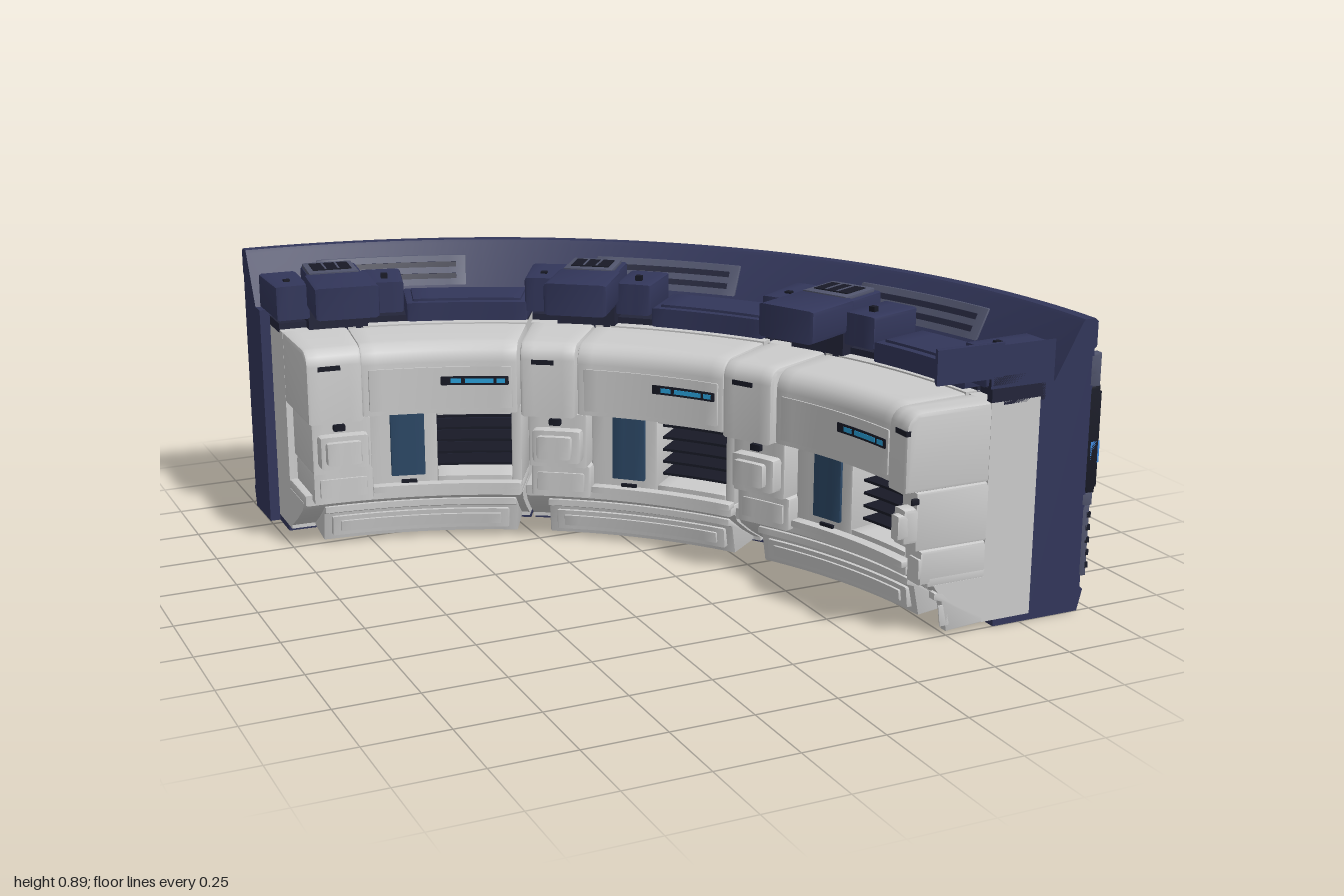
import * as THREE from 'three';
import { toCreasedNormals } from 'three/addons/utils/BufferGeometryUtils.js';

const mat = (color) => new THREE.MeshStandardMaterial({ color, roughness: 0.7 });
const WHITE = mat(0xcccccc), NAVY = mat(0x32365a), DEEP = mat(0x23253a), DARK = mat(0x181a26);
const GREY = mat(0x50546c), BLUE = mat(0x3f8ae0), CYAN = mat(0x2a9fd8), TEAL = mat(0x2c4866);

const RAD = Math.PI / 180;
const PITCH = 28.35; // degrees per console bay
const FIRST = 89.2;  // angle at which the first bay starts

// Sweeps a (radius, height) profile around the arc centre at (-1, 1), from angle a1 down to a0.
function sweep(name, a1, a0, profile, material, bevel = 0, straight = false) {
  const hi = Math.min(a1, 90), lo = straight ? a0 : Math.max(a0, 0);
  const rs = profile.map((p) => p[0]);
  const rm = straight ? Math.min(...rs) : (Math.min(...rs) + Math.max(...rs)) / 2;
  const len = (hi - lo) * RAD * rm;
  const b = Math.min(bevel, len / 3);
  const geo = new THREE.ExtrudeGeometry(new THREE.Shape(profile.map((p) => new THREE.Vector2(...p))), {
    depth: len - 2 * b, steps: straight ? 1 : Math.ceil((hi - lo) / 1.8),
    bevelEnabled: b > 0, bevelSize: b, bevelThickness: b, bevelOffset: -b, bevelSegments: 2,
  });
  const pos = geo.attributes.position;
  const mid = (hi + lo) / 2 * RAD;
  for (let i = 0; i < pos.count; i++) {
    const r = pos.getX(i), s = pos.getZ(i) + b;
    let x, z;
    if (straight) {
      const t = s - len / 2;
      x = r * Math.cos(mid) + t * Math.sin(mid);
      z = -r * Math.sin(mid) + t * Math.cos(mid);
    } else {
      const a = hi * RAD - s / rm;
      x = r * Math.cos(a);
      z = -r * Math.sin(a);
    }
    pos.setXYZ(i, Math.max(x - 1, -1), pos.getY(i), Math.min(z + 1, 1));
  }
  const mesh = new THREE.Mesh(toCreasedNormals(geo, 0.6), material);
  mesh.name = name;
  return mesh;
}

const rect = (r0, r1, y0, y1) => [[r0, y0], [r1, y0], [r1, y1], [r0, y1]];

// Block profile with the upper inner corner rounded.
function cowl(r0, r1, y0, y1, q) {
  const pts = [[r0, y0], [r1, y0], [r1, y1]];
  for (let i = 0; i <= 5; i++) {
    const t = i / 5 * Math.PI / 2;
    pts.push([r0 + q - q * Math.sin(t), y1 - q + q * Math.cos(t)]);
  }
  return pts;
}

// Strip lying on the sloped inner face of the wall, raised by d.
function slopeStrip(y0, y1, d) {
  const r = (y) => 1.83 + (y - 0.72) * 0.545;
  return [[r(y0) - d, y0], [r(y0) + 0.01, y0], [r(y1) + 0.01, y1], [r(y1) - d, y1]];
}

function buildBay(k) {
  const bay = new THREE.Group();
  bay.name = 'consoleBay' + (k + 1);
  const A = FIRST - k * PITCH;
  // u values are degrees from the start of the bay; parts beyond the cut end are left out
  const shape = (name, u0, u1, profile, m, bevel, straight) => {
    if (A - u0 > 0.05) bay.add(sweep(name, A - u0, A - u1, profile, m, bevel, straight));
  };
  const block = (name, u0, u1, r0, r1, y0, y1, m, bevel = 0, straight = false) =>
    shape(name, u0, u1, rect(r0, r1, y0, y1), m, bevel, straight);

  // Cabinet carcass with undercut foot, plinth step and ledge
  block('cabinetBack', 0.25, 28.1, 1.62, 1.785, 0.02, 0.68, WHITE);
  shape('undercut', 0.25, 28.1, [[1.54, 0.08], [1.64, 0.02], [1.64, 0.16], [1.45, 0.16], [1.47, 0.13]], WHITE);
  shape('plinth', 3, 27.2, [[1.5, 0.012], [1.63, 0.02], [1.63, 0.135], [1.455, 0.135], [1.455, 0.115], [1.48, 0.105]], WHITE, 0.004);
  shape('plinthPanel', 4, 26.2, [[1.478, 0.03], [1.51, 0.03], [1.5, 0.095], [1.47, 0.095]], WHITE, 0.005);
  shape('plinthPanelInset', 5, 25.2, [[1.468, 0.045], [1.49, 0.045], [1.485, 0.08], [1.463, 0.08]], WHITE, 0.003);
  block('ledge', 0.25, 28.1, 1.43, 1.63, 0.155, 0.19, WHITE, 0.008);
  block('ledgeLip', 9, 28.1, 1.415, 1.45, 0.18, 0.2, WHITE, 0.005);
  block('kickBoard', 0.25, 28.1, 1.66, 1.8, 0, 0.025, NAVY);

  // Column at the start of the bay
  shape('columnHead', 0.25, 7.7, cowl(1.345, 1.63, 0.445, 0.68, 0.05), WHITE, 0.012);
  block('columnHeadGroove', 1.8, 4.8, 1.342, 1.36, 0.615, 0.63, DARK);
  block('columnBody', 1, 8.8, 1.385, 1.63, 0.27, 0.445, WHITE, 0.008);
  block('columnPlate', 1.7, 8.3, 1.345, 1.4, 0.295, 0.4, WHITE, 0.012);
  block('columnPlateInset', 2.4, 7.2, 1.325, 1.37, 0.312, 0.385, WHITE, 0.01);
  block('columnLatch', 3.8, 5.4, 1.37, 1.4, 0.41, 0.43, DARK, 0.004);
  block('columnFoot', 1.2, 9, 1.405, 1.63, 0.165, 0.268, WHITE, 0.01);
  block('columnFootInset', 2, 8.2, 1.398, 1.41, 0.185, 0.245, WHITE, 0.004);

  // Long hood with a lit slot
  shape('hood', 7.7, 28.1, cowl(1.37, 1.63, 0.45, 0.675, 0.06), WHITE, 0.008);
  block('hoodPanel', 8.6, 27.4, 1.365, 1.38, 0.465, 0.6, WHITE, 0.005);
  block('hoodSlot', 18, 27, 1.362, 1.372, 0.542, 0.57, DARK, 0.004);
  for (const [u0, u1] of [[19.3, 20.7], [21.2, 25], [25.4, 26.5]])
    block('hoodLight', u0, u1, 1.36, 1.367, 0.549, 0.563, CYAN);

  // Glazed locker and open rack under the hood
  block('locker', 8.7, 17.4, 1.45, 1.63, 0.19, 0.45, WHITE, 0.008);
  block('lockerGlass', 11.5, 15.8, 1.442, 1.46, 0.225, 0.43, TEAL, 0.004);
  block('lockerHandle', 12.7, 14.7, 1.44, 1.46, 0.2, 0.21, DARK);
  block('rackBack', 17.4, 26.8, 1.6, 1.625, 0.19, 0.45, DEEP);
  block('rackSill', 17.4, 26.8, 1.45, 1.61, 0.185, 0.215, WHITE, 0.005);
  block('rackHeader', 17.4, 26.8, 1.45, 1.61, 0.42, 0.452, WHITE, 0.005);
  block('rackSide', 26.8, 28.1, 1.45, 1.63, 0.19, 0.45, WHITE, 0.005);
  for (let i = 0; i < 5; i++)
    block('rackShelf', 17.4, 26.8, 1.5, 1.605, 0.235 + i * 0.04, 0.243 + i * 0.04, DARK);

  // Worktop units, overhanging box and display
  block('worktopBase', 0.25, 28.1, 1.66, 1.785, 0.67, 0.7, DEEP);
  block('worktopStart', -0.4, 3.5, 1.61, 1.825, 0.72, 0.83, NAVY, 0.01);
  block('worktopMiddle', 10, 14.2, 1.62, 1.82, 0.72, 0.82, NAVY, 0.01);
  for (const u of [1.5, 12.2])
    block('worktopButton', u - 0.35, u + 0.35, 1.675, 1.695, 0.81, 0.836, DARK);
  block('worktopSlab', 14.4, 28.3, 1.61, 1.825, 0.69, 0.75, NAVY, 0.01);
  block('worktopSlabPanel', 15.2, 27.4, 1.635, 1.79, 0.74, 0.758, NAVY, 0.006);
  block('overhangBox', 2.7, 10.9, 1.44, 1.66, 0.75, 0.852, NAVY, 0.015, true);
  block('overhangRear', 3.6, 10, 1.62, 1.825, 0.72, 0.845, NAVY, 0.01, true);
  block('overhangFoot', 3.3, 10, 1.62, 1.8, 0.67, 0.755, DEEP);
  if (A > 15) {
    block('displayFrame', 3.8, 9.4, 1.65, 1.81, 0.84, 0.856, GREY, 0.005, true);
    block('displayScreen', 4.5, 8.7, 1.685, 1.785, 0.85, 0.859, DARK, 0, true);
    for (const u of [5.9, 7.3])
      block('displayDivider', u - 0.1, u + 0.1, 1.69, 1.78, 0.855, 0.861, GREY);
  }

  // Vent on the sloped inner wall
  shape('wallVent', 6, 21, slopeStrip(0.755, 0.845, 0.008), GREY, 0.003);
  for (const y of [0.775, 0.81])
    shape('wallVentSlot', 7, 20, slopeStrip(y, y + 0.016, 0.011), DEEP);

  // Outer wall: rim seams, large panel and grille
  block('baseSeam', -0.38, -0.26, 1.95, 1.977, 0.01, 0.07, DARK);
  block('rimSeam', -0.38, -0.26, 1.95, 1.972, 0.805, 0.885, DARK);
  block('wallSlot', 10.3, 26.8, 1.95, 1.985, 0.715, 0.77, DARK, 0.012);
  block('wallPanel', 10.3, 26.8, 1.95, 1.982, 0.46, 0.69, DARK, 0.006);
  const grille = (u0, u1, y0, y1, n) => {
    block('grillePlate', u0, u1, 1.95, 1.983, y0, y1, GREY, 0.008);
    const step = (y1 - y0 - 0.03) / n;
    for (let i = 0; i < n; i++) {
      const y = y0 + 0.015 + (i + 0.28) * step;
      block('grilleSlot', u0 + 0.9, u1 - 0.9, 1.97, 1.986, y, y + step * 0.45, DARK);
    }
  };
  grille(10.3, 26.8, 0.105, 0.44, 7);
  grille(1.8, 8.8, 0.105, 0.33, 5);

  // Outer wall: control unit with screen and bracket
  block('controlUnit', 1.6, 9.1, 1.95, 1.996, 0.36, 0.69, DARK, 0.01);
  block('controlPlate', 2.2, 8.5, 1.97, 1.999, 0.38, 0.67, DARK, 0.004);
  block('controlScreen', 3.2, 7.1, 1.97, 2.001, 0.455, 0.52, BLUE);
  block('controlBracket', 1.6, 9, 1.95, 1.985, 0.715, 0.765, GREY, 0.01);
  block('bracketTab', 3.2, 5, 1.95, 1.992, 0.685, 0.785, GREY, 0.006);
  block('controlConnector', 3.2, 5, 1.95, 1.988, 0.325, 0.365, GREY, 0.004);
  return bay;
}

export function createModel() {
  const model = new THREE.Group();
  model.name = 'curvedConsole';
  // Curved outer wall with raised rims and a sloped inner face above the worktop
  model.add(sweep('outerWall', 90, 0, [
    [1.78, 0], [1.955, 0], [1.972, 0.065], [1.962, 0.075], [1.962, 0.8], [1.97, 0.808],
    [1.97, 0.88], [1.96, 0.89], [1.925, 0.89], [1.917, 0.88], [1.83, 0.72], [1.78, 0.72],
  ], NAVY));
  for (let k = 0; k < 4; k++) model.add(buildBay(k));
  return model;
}
